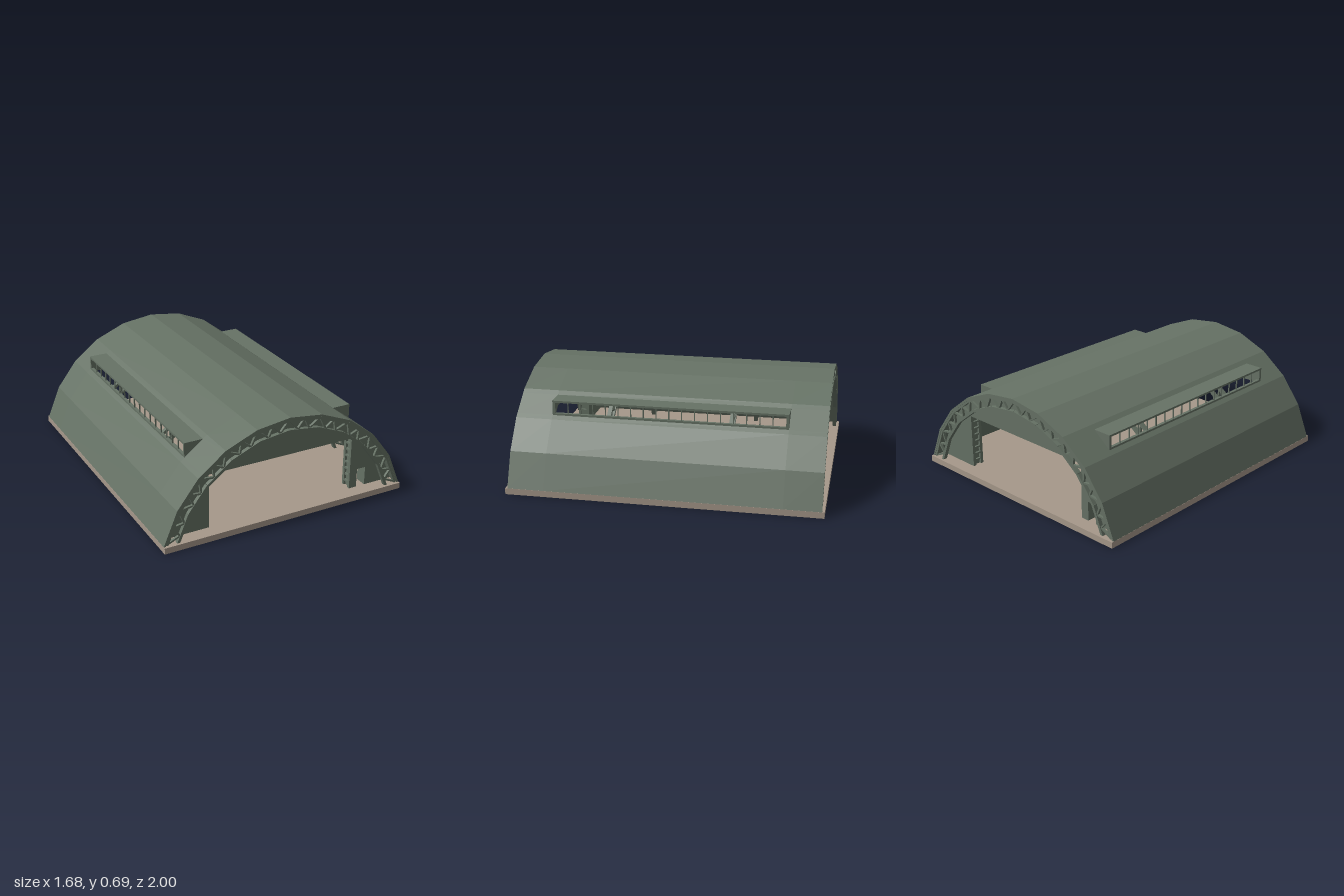
import * as THREE from 'three';

const CY = -0.175;      // arch centre height
const R = 0.865;        // outer arch radius
const FLOOR = 0.04;
const DEG = Math.PI / 180;

const polar = (deg, r) => [Math.sin(deg * DEG) * r, CY + Math.cos(deg * DEG) * r];

export function createModel() {
  const green = new THREE.MeshStandardMaterial({ color: 0x667265 });
  green.name = 'olive green metal';
  const concrete = new THREE.MeshStandardMaterial({ color: 0xa6988a });
  concrete.name = 'concrete';

  const model = new THREE.Group();
  model.name = 'hangar';

  const add = (parent, name, geo, mat = green) => {
    const mesh = new THREE.Mesh(geo, mat);
    mesh.name = name;
    parent.add(mesh);
    return mesh;
  };
  const box = (parent, name, x0, x1, y0, y1, z0, z1, mat = green) =>
    add(parent, name, new THREE.BoxGeometry(x1 - x0, y1 - y0, z1 - z0), mat)
      .position.set((x0 + x1) / 2, (y0 + y1) / 2, (z0 + z1) / 2);
  const prism = (parent, name, pts, z0, z1) => {
    const shape = new THREE.Shape(pts.map(p => new THREE.Vector2(p[0], p[1])));
    const geo = new THREE.ExtrudeGeometry(shape, { depth: z1 - z0, bevelEnabled: false });
    geo.translate(0, 0, z0);
    return add(parent, name, geo);
  };
  // straight bar between two points of a plane at constant z
  const bar = (parent, name, a, b, z, width, depth) => {
    const dx = b[0] - a[0], dy = b[1] - a[1];
    const mesh = add(parent, name, new THREE.BoxGeometry(Math.hypot(dx, dy), width, depth));
    mesh.position.set((a[0] + b[0]) / 2, (a[1] + b[1]) / 2, z);
    mesh.rotation.z = Math.atan2(dy, dx);
  };

  // Floor slab
  box(model, 'floorSlab', -0.84, 0.84, 0, FLOOR, -1, 1, concrete);

  // Faceted roof shell, with a long slot on each side behind the dormers
  const roof = new THREE.Group();
  roof.name = 'roof';
  model.add(roof);
  const IN = 0.46, OUT = 0.585, Z = 0.75, END = 0.985;
  const [ax, ay] = polar(30, R), [bx, by] = polar(45, R);
  const onSlope = x => [x, ay + (by - ay) * (x - ax) / (bx - ax)];
  const foot = [0.839, FLOOR];
  const right = [...[0, 15, 30].map(a => polar(a, R)), onSlope(IN), onSlope(OUT),
    ...[45, 60].map(a => polar(a, R)), foot];
  const mirror = pts => pts.map(p => [-p[0], p[1]]).reverse();
  const thick = line => {
    const k = (R - 0.014) / R;
    return [...line, ...line.map(p => [p[0] * k, Math.max(FLOOR, CY + (p[1] - CY) * k)]).reverse()];
  };
  const crown = [...mirror(right.slice(1, 4)), ...right.slice(0, 4)];
  const full = [...mirror(right.slice(1)), ...right];
  prism(roof, 'frontRoof', thick(full), Z, END);
  prism(roof, 'backRoof', thick(full), -END, -Z);
  prism(roof, 'crownRoof', thick(crown), -Z, Z);
  prism(roof, 'leftRoofSide', thick(right.slice(4)), -Z, Z);
  prism(roof, 'rightRoofSide', thick(mirror(right.slice(4))), -Z, Z);

  // Dormer window strips
  const top = onSlope(IN)[1], low = onSlope(OUT)[1];
  for (const s of [1, -1]) {
    const dormer = new THREE.Group();
    dormer.name = s > 0 ? 'leftDormer' : 'rightDormer';
    dormer.rotation.y = s > 0 ? 0 : Math.PI;
    model.add(dormer);
    box(dormer, 'dormerRoof', IN - 0.005, OUT, 0.54, top, -Z, Z);
    box(dormer, 'windowSill', OUT - 0.02, OUT, low - 0.01, 0.47, -Z, Z);
    for (const e of [-1, 1]) {
      const z = e > 0 ? Z - 0.018 : -Z;
      prism(dormer, 'dormerEnd', [[IN, top], [OUT, low], [OUT, top]], z, z + 0.018);
    }
    for (let i = 1; i < 18; i++) {
      const z = -0.732 + i * 1.464 / 18;
      box(dormer, 'mullion', OUT - 0.014, OUT - 0.006, 0.468, 0.542, z - 0.003, z + 0.003);
    }
  }

  // Lattice arch trusses
  const outerR = R - 0.02, innerR = 0.773;
  for (const z of [-0.97, -0.39, 0.39, 0.97]) {
    const truss = new THREE.Group();
    truss.name = 'archTruss';
    model.add(truss);
    for (let a = -75; a < 75; a += 15) {
      bar(truss, 'outerChord', polar(a, outerR), polar(a + 15, outerR), z, 0.018, 0.026);
      bar(truss, 'innerChord', polar(a, innerR), polar(a + 15, innerR), z, 0.018, 0.026);
      const web = [polar(a, outerR), polar(a + 4.5, innerR), polar(a + 7.5, outerR - 0.006),
        polar(a + 10.5, innerR), polar(a + 15, outerR)];
      for (let i = 0; i < 4; i++) bar(truss, 'webBar', web[i], web[i + 1], z, 0.011, 0.016);
    }
  }

  // End walls: two skins with a large gate, a small doorway and laced jambs
  const rim = [];
  for (let a = 75; a >= -75; a -= 15) rim.push(polar(a, R - 0.008));
  const outline = [[0.505, FLOOR], [0.56, FLOOR], [0.56, 0.167], [0.622, 0.167], [0.622, FLOOR],
    [0.828, FLOOR], ...rim, [-0.828, FLOOR], [-0.505, FLOOR], [-0.505, 0.4], [0.505, 0.4]];
  for (const s of [1, -1]) {
    const wall = new THREE.Group();
    wall.name = s > 0 ? 'frontWall' : 'backWall';
    wall.rotation.y = s > 0 ? 0 : Math.PI;
    model.add(wall);
    prism(wall, 'outerSkin', outline, 0.89, 0.91);
    prism(wall, 'innerSkin', outline, 0.83, 0.85);
    box(wall, 'gateHeader', -0.52, 0.52, 0.4, 0.415, 0.84, 0.9);
    for (const side of [1, -1]) {
      const x = side * 0.525;
      box(wall, 'jambBack', x - 0.005, x + 0.005, FLOOR, 0.4, 0.845, 0.895);
      for (let y = 0.07; y < 0.39; y += 0.045)
        box(wall, 'jambRung', side * 0.514 - 0.008, side * 0.514 + 0.008, y, y + 0.012, 0.845, 0.895);
    }
    // doorway lining
    box(wall, 'doorJamb', 0.552, 0.56, FLOOR, 0.175, 0.845, 0.895);
    box(wall, 'doorJamb', 0.622, 0.63, FLOOR, 0.175, 0.845, 0.895);
    box(wall, 'doorHead', 0.552, 0.63, 0.167, 0.175, 0.845, 0.895);
  }
  return model;
}
